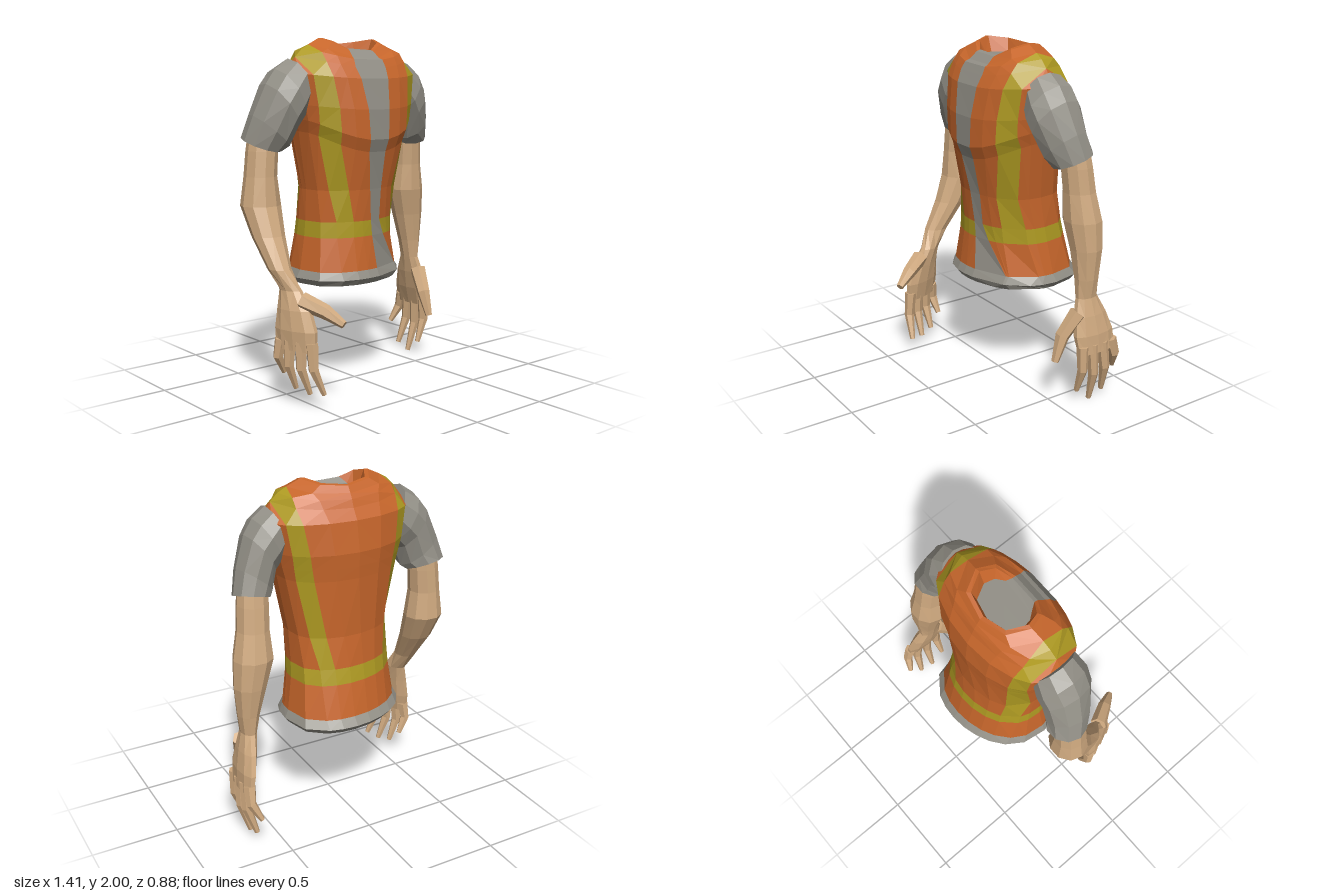
import * as THREE from 'three';

const mat = (name, color) => {
  const m = new THREE.MeshStandardMaterial({ color, flatShading: true });
  m.name = name;
  return m;
};
const V = (x, y, z) => new THREE.Vector3(x, y, z);
const { clamp, lerp } = THREE.MathUtils;
const ORANGE = 0, GREY = 1, YELLOW = 2, SKIN = 3;

// Value at height y from a few [height, value] keys, highest first
function at(keys, y) {
  const i = keys.findIndex((k) => k[0] <= y);
  if (i === 0) return keys[0][1];
  if (i < 0) return keys[keys.length - 1][1];
  const [ya, a] = keys[i - 1], [yb, b] = keys[i];
  return lerp(a, b, (ya - y) / (ya - yb));
}

// Skin a list of closed rings; pick(row, column) gives the colour index of each face
function loft(name, rings, materials, pick, capStart, capEnd) {
  const buckets = materials.map(() => []);
  const tri = (k, a, b, c) => {
    const area = b.clone().sub(a).cross(c.clone().sub(a)).length();
    if (area > 1e-7) for (const p of [a, b, c]) buckets[k].push(p.x, p.y, p.z);
  };
  const first = rings[0], last = rings[rings.length - 1], n = first.length;
  const centre = (r) => r.reduce((s, p) => s.add(p), V(0, 0, 0)).divideScalar(n);
  for (let j = 0; j < n; j++) {
    const q = (j + 1) % n;
    // Diagonals mirror from side to side
    const mirrored = j % (n / 2) < n / 4;
    for (let i = 0; i < rings.length - 1; i++) {
      const k = pick(i, j);
      const a = rings[i][j], b = rings[i][q], c = rings[i + 1][q], d = rings[i + 1][j];
      tri(k, a, b, mirrored ? d : c);
      tri(k, mirrored ? b : a, c, d);
    }
    tri(capStart, centre(first), first[q], first[j]);
    tri(capEnd, centre(last), last[j], last[q]);
  }
  const geo = new THREE.BufferGeometry();
  geo.setAttribute('position', new THREE.Float32BufferAttribute(buckets.flat(), 3));
  let start = 0;
  buckets.forEach((b, k) => {
    if (b.length) geo.addGroup(start, b.length / 3, k);
    start += b.length / 3;
  });
  geo.computeVertexNormals();
  const mesh = new THREE.Mesh(geo, materials);
  mesh.name = name;
  return mesh;
}

// Limb ring: centre, radii, slope across x and z, turn about y
function limbRing(c, rx, rz, sx, sz, turn) {
  return Array.from({ length: 10 }, (_, j) => {
    const t = (j / 10) * Math.PI * 2;
    const d = V(Math.cos(t) * rx, 0, Math.sin(t) * rz).applyAxisAngle(V(0, 1, 0), turn);
    d.y = sx * d.x + sz * d.z;
    return d.add(c);
  });
}

// Tapered six-sided digit through three points
function digit(name, p, width, materials) {
  const rings = p.map((c, i) => {
    const d = p[Math.min(i + 1, 2)].clone().sub(p[Math.max(i - 1, 0)]).normalize();
    const u = V(1, 0, 0).addScaledVector(d, -d.x).normalize();
    const v = d.clone().cross(u);
    const r = width * [1, 0.82, 0.43][i];
    return Array.from({ length: 6 }, (_, j) => {
      const t = (j / 6) * Math.PI * 2;
      return c.clone().addScaledVector(u, Math.cos(t) * r).addScaledVector(v, Math.sin(t) * r);
    });
  });
  return loft(name, rings, materials, () => SKIN, SKIN, SKIN);
}

// Torso rings from the collar lining over the shoulders to the hem: y, half width, front z, back z
const TORSO = [
  [1.91, 0.153, 0.05, -0.17], [1.998, 0.185, 0.07, -0.19], [1.995, 0.21, 0.09, -0.212],
  [1.96, 0.285, 0.13, -0.235], [1.932, 0.335, 0.153, -0.253], [1.89, 0.38, 0.175, -0.27],
  [1.8, 0.43, 0.205, -0.305], [1.63, 0.395, 0.235, -0.33], [1.55, 0.375, 0.238, -0.325],
  [1.48, 0.355, 0.212, -0.32], [1.15, 0.303, 0.175, -0.315], [0.97, 0.305, 0.16, -0.335],
  [0.88, 0.312, 0.16, -0.352], [0.69, 0.345, 0.185, -0.395], [0.645, 0.368, 0.205, -0.43],
  [0.61, 0.34, 0.18, -0.4], [0.625, 0.23, 0.07, -0.29],
];
// Outer edges of the yellow stripes and both edges of the grey front panel, by height
const EDGES = {
  frontLeft: [[1.89, 0.375], [1.5, 0.325], [1.15, 0.265], [0.88, 0.285], [0.69, 0.33]],
  frontRight: [[1.89, -0.385], [1.5, -0.33], [0.97, -0.225]],
  backLeft: [[1.89, 0.375], [1.5, 0.31], [0.97, 0.21]],
  backRight: [[1.89, -0.385], [1.5, -0.335], [0.97, -0.285]],
  panelLeft: [[2, 0.07], [1.9, 0.09], [1.5, 0.055], [0.97, 0.06], [0.88, 0.1], [0.69, 0.22], [0.645, 0.22], [0.625, 0.15]],
  panelRight: [[2, -0.1], [1.9, -0.13], [1.5, -0.065], [0.97, -0.01], [0.69, 0.02]],
};

function torsoRing([y, hw, zf, zb]) {
  const WF = 0.095, WB = 0.078, PI = Math.PI, xc = -0.005;
  const front = (x) => Math.acos(clamp((x - xc) / hw, -1, 1));
  const back = (x) => 2 * PI - front(x);
  const x = (edge) => at(EDGES[edge], y);
  const fL = front(x('frontLeft')), iL = front(x('frontLeft') - WF);
  const fR = front(x('frontRight')), iR = front(x('frontRight') + WF);
  const bL = back(x('backLeft')), jL = back(x('backLeft') - WB);
  const bR = back(x('backRight')), jR = back(x('backRight') + WB);
  const gL = front(x('panelLeft')), gR = front(x('panelRight'));
  const angles = [
    0, fL / 2, fL, iL, (iL + gL) / 2, gL, gR, (gR + iR) / 2, iR, fR, (fR + PI) / 2, PI,
    (PI + bR) / 2, bR, jR, lerp(jR, jL, 0.25), lerp(jR, jL, 0.5), lerp(jR, jL, 0.75), jL, bL, bL / 2 + PI,
  ];
  // Neckline and chest dip in front, the hem twists back on one side
  const neckFloor = hw < 0.16;
  const frontDip = neckFloor ? 0 : y > 1.94 ? 0.08 : y > 1.85 ? 0.06 : y > 1.6 ? 0.03 : y > 1.4 ? 0.12 : 0;
  const backDip = !neckFloor && y > 1.85 ? 0.03 : 0;
  const shear = clamp((1.35 - y) * 0.2, 0, 0.12);
  return angles.map((t) => {
    const s = Math.sin(t), dx = hw * Math.cos(t);
    const depth = ((zf - zb) / 2) * Math.sign(s) * Math.abs(s) ** 0.78;
    return V(xc + dx, y - (s > 0 ? frontDip : backDip) * s * s, (zf + zb) / 2 + depth - shear * dx);
  });
}

function torsoColour(row, col) {
  if (row >= 13 || col === 5) return GREY;
  if (row === 11) return YELLOW;
  return row >= 3 && row < 11 && [2, 8, 13, 18].includes(col) ? YELLOW : ORANGE;
}

// Sleeve rings, shoulder to cuff: x, y, z, radii, slope
const SLEEVE = [
  [0.345, 1.765, -0.05, 0.06, 0.13, 1.8], [0.412, 1.69, -0.052, 0.072, 0.155, 1.75],
  [0.458, 1.625, -0.057, 0.08, 0.15, 1.4], [0.503, 1.49, -0.085, 0.098, 0.127, 0.8],
  [0.532, 1.412, -0.118, 0.104, 0.112, 0.2],
];
// Arm and palm thickness: y, radii
const LIMB = [
  [1.47, 0.083, 0.085], [1.38, 0.09, 0.09], [1.24, 0.092, 0.094], [1.08, 0.115, 0.109], [0.92, 0.094, 0.092],
  [0.75, 0.063, 0.073], [0.64, 0.044, 0.068], [0.54, 0.047, 0.108], [0.43, 0.045, 0.135], [0.32, 0.031, 0.13],
];
// Each arm hangs along its own centre line
const ARMS = [
  {
    side: 'left', sign: 1, reach: 1, turn: 0, curl: -0.045, splay: -0.03,
    x: [[1.47, 0.53], [1.08, 0.557], [0.85, 0.597], [0.64, 0.605], [0.335, 0.667]],
    z: [[1.47, -0.13], [1, -0.18], [0.64, -0.175], [0.335, -0.21]],
    tips: [0.08, 0.005, 0.04, 0.17],
    thumb: [V(0.62, 0.56, -0.11), V(0.59, 0.43, -0.025), V(0.592, 0.285, 0.025)],
  },
  {
    side: 'right', sign: -1, reach: 1.07, turn: 0.35, curl: 0.05, splay: 0,
    x: [[1.47, -0.57], [1.24, -0.59], [0.75, -0.592], [0.64, -0.565], [0.335, -0.578]],
    z: [[1.47, -0.1], [1.08, -0.1], [0.92, -0.03], [0.64, 0.14], [0.5, 0.195], [0.335, 0.205]],
    tips: [0.08, 0.07, 0.09, 0.17],
    thumb: [V(-0.55, 0.59, 0.22), V(-0.48, 0.54, 0.34), V(-0.432, 0.48, 0.435)],
  },
];

function buildArm({ side, sign, reach, turn, curl, splay, x, z, tips, thumb }, materials) {
  const group = new THREE.Group();
  group.name = side + 'Arm';

  const sleeve = SLEEVE.map(([sx, y, sz, rx, rz, slope], i) =>
    limbRing(V(sign * sx * reach, y, sz), rx * reach, rz, sign * slope, -0.075 * i, 0));
  group.add(loft(side + 'Sleeve', sleeve, materials, () => GREY, GREY, GREY));

  const limb = LIMB.map(([y, rx, rz]) =>
    limbRing(V(at(x, y), y, at(z, y)), rx, rz, 0, 0, y < 0.7 ? turn : 0));
  group.add(loft(side + 'ForearmAndPalm', limb, materials, () => SKIN, SKIN, SKIN));

  // Fingers fan out from the palm edge and curl inward
  const palm = V(at(x, 0), 0.37, at(z, 0));
  const across = V(Math.sin(turn), 0, Math.cos(turn));
  [0.1, 0.03, -0.04, -0.1].forEach((s, i) => {
    const base = palm.clone().addScaledVector(across, s);
    const tip = palm.clone().addScaledVector(across, s * 1.3).add(V(curl, 0, splay)).setY(tips[i]);
    const knuckle = base.clone().lerp(tip, 0.5).add(V(-0.6 * curl, 0, 0));
    group.add(digit(`${side}Finger${i + 1}`, [base, knuckle, tip], 0.036, materials));
  });
  group.add(digit(side + 'Thumb', thumb, 0.05, materials));
  return group;
}

export function createModel() {
  const materials = [
    mat('orange vest', 0xc7662b), mat('grey cloth', 0x928f86),
    mat('yellow stripe', 0xaf9b22), mat('skin', 0xd0aa80),
  ];
  const model = new THREE.Group();
  model.name = 'safetyVestTorso';
  model.add(loft('torso', TORSO.map(torsoRing), materials, torsoColour, GREY, GREY));
  for (const arm of ARMS) model.add(buildArm(arm, materials));
  return model;
}
